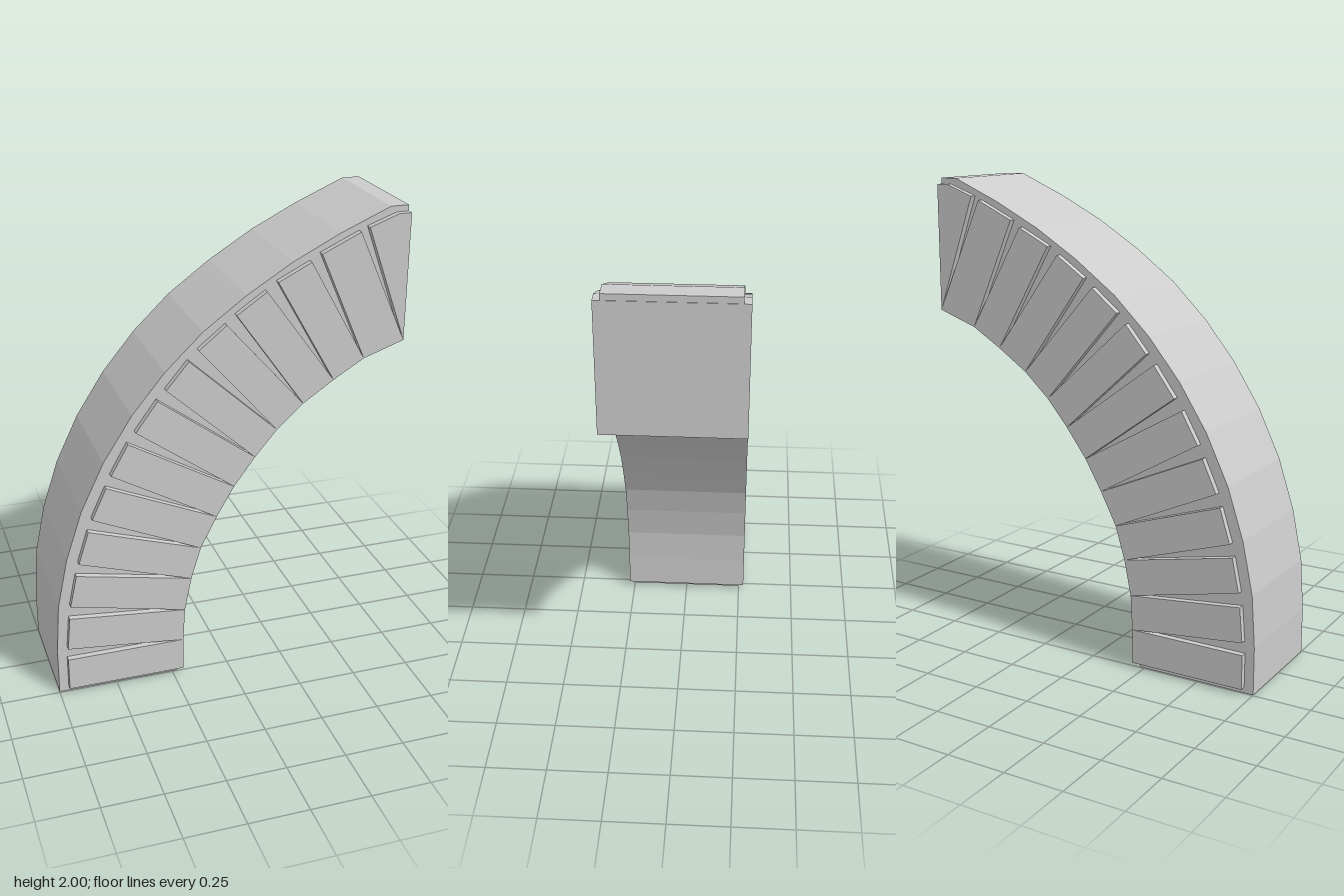
import * as THREE from 'three';

const material = new THREE.MeshStandardMaterial({ color: 0xcccccc, flatShading: true });

// Prism with the given x-y outline, centred on z = 0
function prism(name, points, depth) {
  const shape = new THREE.Shape(points.map(([x, y]) => new THREE.Vector2(x, y)));
  const geometry = new THREE.ExtrudeGeometry(shape, { depth, bevelEnabled: false });
  geometry.translate(0, 0, -depth / 2);
  const mesh = new THREE.Mesh(geometry, material);
  mesh.name = name;
  return mesh;
}

// Outer curve of the core, from the foot to the crown
const extrados = [
  [-0.75, 0], [-0.75, 0.2], [-0.735, 0.42], [-0.69, 0.637], [-0.62, 0.85], [-0.522, 1.055], [-0.4, 1.245],
  [-0.262, 1.412], [-0.105, 1.563], [0.075, 1.695], [0.265, 1.812], [0.46, 1.91], [0.67, 2], [0.746, 2],
];

// Inner curve, where neighbouring stones meet
const intrados = [
  [-0.205, 0.025], [-0.205, 0.172], [-0.197, 0.322], [-0.167, 0.472], [-0.125, 0.613], [-0.055, 0.75], [0.02, 0.88],
  [0.11, 1.002], [0.203, 1.113], [0.315, 1.215], [0.445, 1.303], [0.575, 1.382], [0.748, 1.442],
];

// Outer ends of the stones: lower corner x, y, upper corner x, y
const stoneEnds = [
  [-0.71, 0.025, -0.71, 0.172], [-0.708, 0.225, -0.695, 0.372], [-0.688, 0.43, -0.658, 0.572],
  [-0.645, 0.625, -0.6, 0.768], [-0.582, 0.82, -0.52, 0.955], [-0.498, 1.005, -0.425, 1.135],
  [-0.392, 1.18, -0.3, 1.305], [-0.265, 1.345, -0.17, 1.457], [-0.13, 1.497, -0.015, 1.59],
  [0.025, 1.625, 0.15, 1.71], [0.195, 1.743, 0.333, 1.812], [0.375, 1.84, 0.537, 1.915],
];

export function createModel() {
  const group = new THREE.Group();
  group.name = 'halfArch';

  // Core, set back slightly behind the stones on its inner side
  const inner = intrados.map(([x, y], i) => {
    const [ax, ay] = intrados[Math.max(i - 1, 0)];
    const [bx, by] = intrados[Math.min(i + 1, intrados.length - 1)];
    const length = Math.hypot(bx - ax, by - ay);
    return [x - 0.025 * (by - ay) / length, y + 0.025 * (bx - ax) / length];
  });
  inner[0] = [-0.23, 0];
  inner[inner.length - 1] = [0.746, 1.468];
  group.add(prism('archCore', [...extrados, ...inner.reverse()], 0.49));

  // Wedge stones running through the full depth
  const stones = new THREE.Group();
  stones.name = 'archStones';
  stoneEnds.forEach(([x0, y0, x1, y1], i) => {
    stones.add(prism(`stone${i + 1}`, [[x0, y0], intrados[i], intrados[i + 1], [x1, y1]], 0.544));
  });

  // Half keystone at the crown
  stones.add(prism('keystoneHalf', [[0.572, 1.93], [0.748, 1.442], [0.748, 1.975], [0.695, 1.975]], 0.544));
  group.add(stones);
  return group;
}
